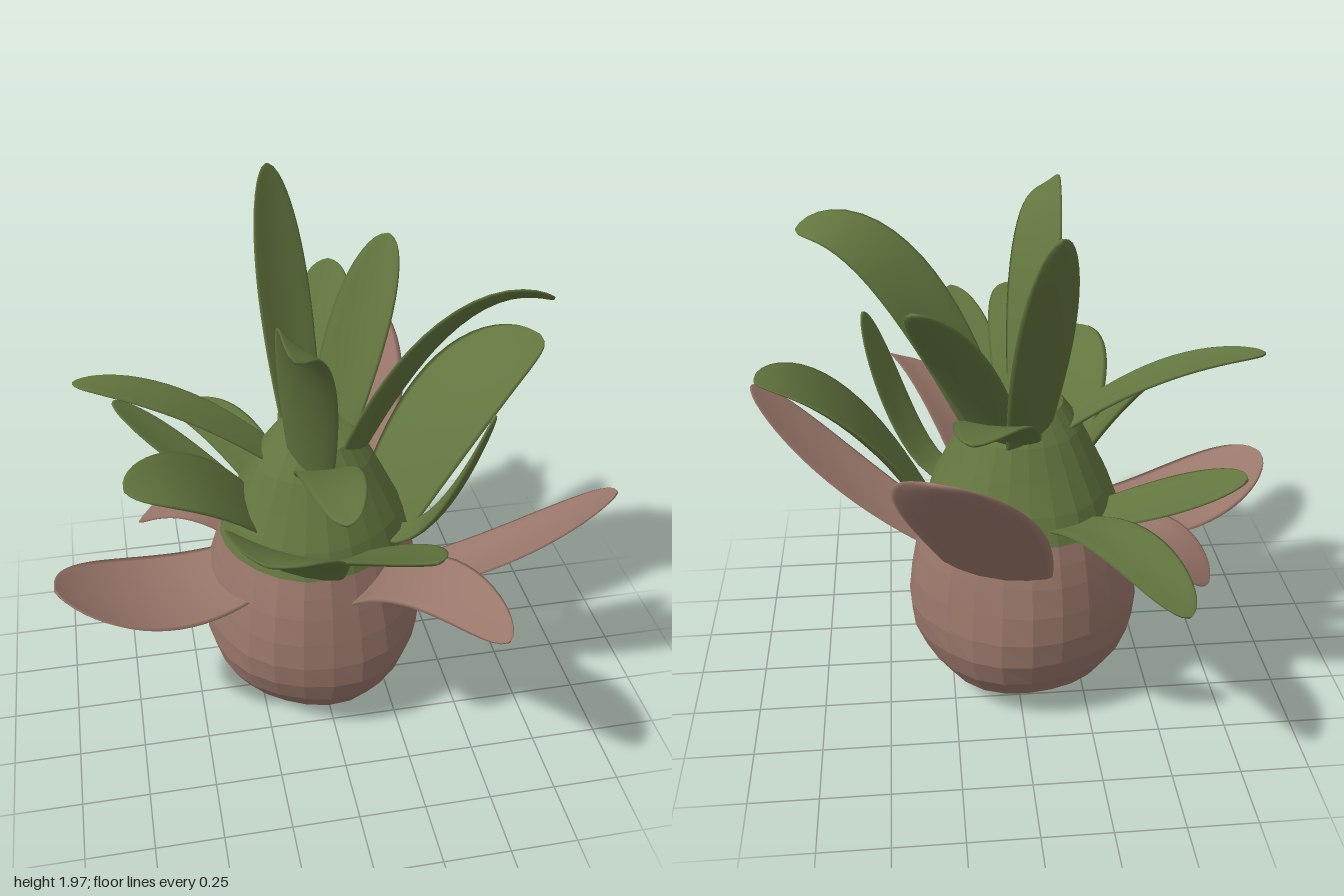
import * as THREE from 'three';

const brown = new THREE.MeshStandardMaterial({ color: 0x9a776b });
brown.name = 'dusty brown';
const green = new THREE.MeshStandardMaterial({ color: 0x63763f });
green.name = 'leaf green';

// Axis of the bulb, from which all leaves radiate
const AXIS = new THREE.Vector3(-0.025, 0, -0.055);

// Slightly irregular faceted body, turned from [radius, height] points
function turnedBody(name, profile, material) {
  const geo = new THREE.LatheGeometry(profile.map(([r, y]) => new THREE.Vector2(r, y)), 24);
  const pos = geo.attributes.position;
  for (let i = 0; i < pos.count; i++) {
    const x = pos.getX(i), y = pos.getY(i), z = pos.getZ(i);
    const a = Math.atan2(x, z);
    const k = 1 + 0.015 * Math.sin(3 * a + 4 * y) + 0.012 * Math.cos(5 * a - 7 * y);
    pos.setXYZ(i, x * k + AXIS.x, y, z * k + AXIS.z);
  }
  const faceted = geo.toNonIndexed();
  faceted.computeVertexNormals();
  const mesh = new THREE.Mesh(faceted, material);
  mesh.name = name;
  return mesh;
}

// Thick cupped leaf from the core at height baseY out to its tip; arch lifts its
// middle above the straight line, roll turns it about its spine
function leaf(name, material, [width, baseY, x, y, z, arch, roll = 0]) {
  const ROWS = 18, SIDES = 14, CUP = 0.17;
  const end = new THREE.Vector3(x, y, z);
  const out = end.clone().sub(AXIS).setY(0).normalize();
  const start = AXIS.clone().addScaledVector(out, Math.min(0.3, 0.3 - (baseY - 0.8) * 0.55)).setY(baseY);
  const middle = start.clone().lerp(end, 0.5);
  middle.y += 2 * arch;
  const spine = new THREE.QuadraticBezierCurve3(start, middle, end);
  const across = new THREE.Vector3(out.z, 0, -out.x);
  const verts = [], index = [];
  for (let i = 0; i <= ROWS; i++) {
    const t = 1 - (1 - i / ROWS) ** 1.5;
    const c = spine.getPointAt(t), T = spine.getTangentAt(t);
    const S = across.clone().addScaledVector(T, -across.dot(T)).normalize().applyAxisAngle(T, roll);
    const N = T.clone().cross(S);
    const taper = Math.sqrt(Math.max(0.002, 1 - t ** 3.5));
    const half = (width / 2) * (0.74 + 0.78 * t - 0.5 * t * t) * taper;
    for (let j = 0; j < SIDES; j++) {
      const a = (j / SIDES) * Math.PI * 2;
      const u = Math.cos(a);
      const h = Math.sin(a) * 0.014 * (0.4 + 0.6 * taper) + CUP * half * (u * u - 0.5);
      const p = c.clone().addScaledVector(S, u * half).addScaledVector(N, h);
      verts.push(p.x, p.y, p.z);
      if (i < ROWS) {
        const p0 = i * SIDES + j, p1 = i * SIDES + (j + 1) % SIDES;
        index.push(p0, p1, p0 + SIDES, p1, p1 + SIDES, p0 + SIDES);
      }
    }
  }
  // Close the tip
  const tip = ROWS * SIDES;
  for (let j = 1; j < SIDES - 1; j++) index.push(tip, tip + j, tip + j + 1);
  const geo = new THREE.BufferGeometry();
  geo.setAttribute('position', new THREE.Float32BufferAttribute(verts, 3));
  geo.setIndex(index);
  geo.computeVertexNormals();
  const mesh = new THREE.Mesh(geo, material);
  mesh.name = name;
  return mesh;
}

export function createModel() {
  const plant = new THREE.Group();
  plant.name = 'succulent';

  // Bulb and leafy core
  plant.add(turnedBody('bulb', [[0, 0], [0.14, 0.01], [0.24, 0.045], [0.33, 0.11], [0.39, 0.2],
    [0.425, 0.3], [0.432, 0.4], [0.42, 0.51], [0.4, 0.62], [0.38, 0.7], [0.36, 0.77]], brown));
  plant.add(turnedBody('core', [[0.36, 0.77], [0.325, 0.87], [0.27, 0.98], [0.215, 1.09],
    [0.15, 1.18], [0, 1.22]], green));

  // Leaves: width, base height, tip x y z, arch, roll
  const withered = [
    [0.48, 0.62, -1, 0.79, 0.2, -0.075],
    [0.25, 0.62, 0.43, 0.95, 0.92, 0.14, 0.4],
    [0.53, 0.6, 0.31, 1.31, -0.88, 0.02],
    [0.3, 0.68, -0.66, 0.6, -0.43, 0.1],
    [0.28, 0.53, 0.99, 1.08, 0.38, -0.06],
  ];
  const lower = [
    [0.25, 0.8, -0.47, 0.82, -0.93, 0.09],
    [0.24, 0.78, -0.73, 1.09, -0.55, 0, 0.28],
    [0.45, 0.76, -0.3, 1.17, 0.67, 0.08, -0.15],
    [0.26, 0.8, 0.19, 1.28, 0.88, 0.02],
    [0.52, 0.7, 0.89, 1.38, -0.25, 0.16],
    [0.17, 0.8, 0.54, 1.4, 0.3, -0.16],
    [0.27, 0.9, -0.72, 1.2, 0.22, 0.08, -0.5],
  ];
  const crown = [
    [0.21, 1.08, -0.86, 1.39, -0.2, 0.07],
    [0.23, 1.08, -0.06, 1.34, 0.73, 0.09],
    [0.25, 1.08, 0.2, 1.45, -0.91, 0.06],
    [0.27, 1.08, -0.18, 1.81, 0.53, 0.23, -0.6],
    [0.27, 1.08, -0.08, 1.97, -0.66, -0.04, 0.5],
    [0.24, 1.08, 0.36, 1.71, -0.54, 0.05, 0.3],
    [0.28, 1.08, 0.75, 1.76, 0.18, 0.23, -0.5],
  ];
  for (const spec of withered) plant.add(leaf('witheredLeaf', brown, spec));
  for (const spec of lower) plant.add(leaf('lowerLeaf', green, spec));
  for (const spec of crown) plant.add(leaf('crownLeaf', green, spec));
  return plant;
}
